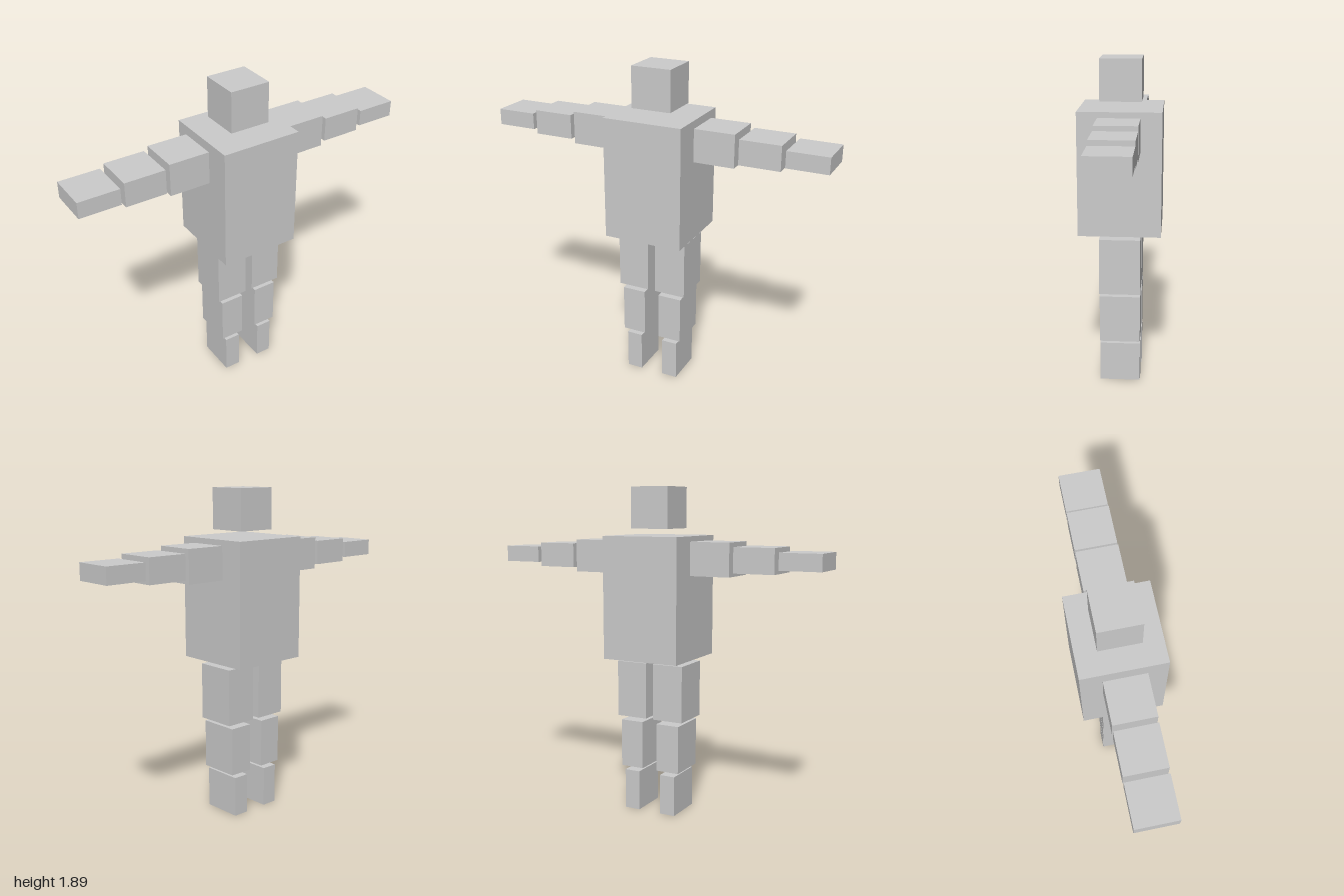
import * as THREE from 'three';

const DEPTH = 0.233;

export function createModel() {
  const model = new THREE.Group();
  model.name = 'blockFigure';
  const material = new THREE.MeshStandardMaterial({ color: 0xcccccc, flatShading: true });

  const block = (name, w, h, d, x, y) => {
    const mesh = new THREE.Mesh(new THREE.BoxGeometry(w, h, d), material);
    mesh.name = name;
    mesh.position.set(x, y, 0);
    model.add(mesh);
  };

  // Torso and head
  block('torso', 0.465, 0.698, 0.465, 0, 1.264);
  block('head', DEPTH, DEPTH, DEPTH, 0, 1.769);

  // Arm segments taper in height towards the hand: [name, height, centre x]
  const arm = [['UpperArm', 0.186, 0.372], ['Forearm', 0.14, 0.628], ['Hand', 0.093, 0.8835]];
  // Leg segments taper in width towards the foot: [name, width, bottom, top]
  const leg = [['Thigh', 0.186, 0.561, 0.887], ['Shin', 0.14, 0.258, 0.537], ['Foot', 0.093, 0, 0.235]];

  for (const [side, s] of [['left', 1], ['right', -1]]) {
    for (const [name, h, x] of arm) block(side + name, DEPTH, h, DEPTH, s * x, 1.492);
    for (const [name, w, y0, y1] of leg) block(side + name, w, y1 - y0, DEPTH, s * 0.116, (y0 + y1) / 2);
  }
  return model;
}
